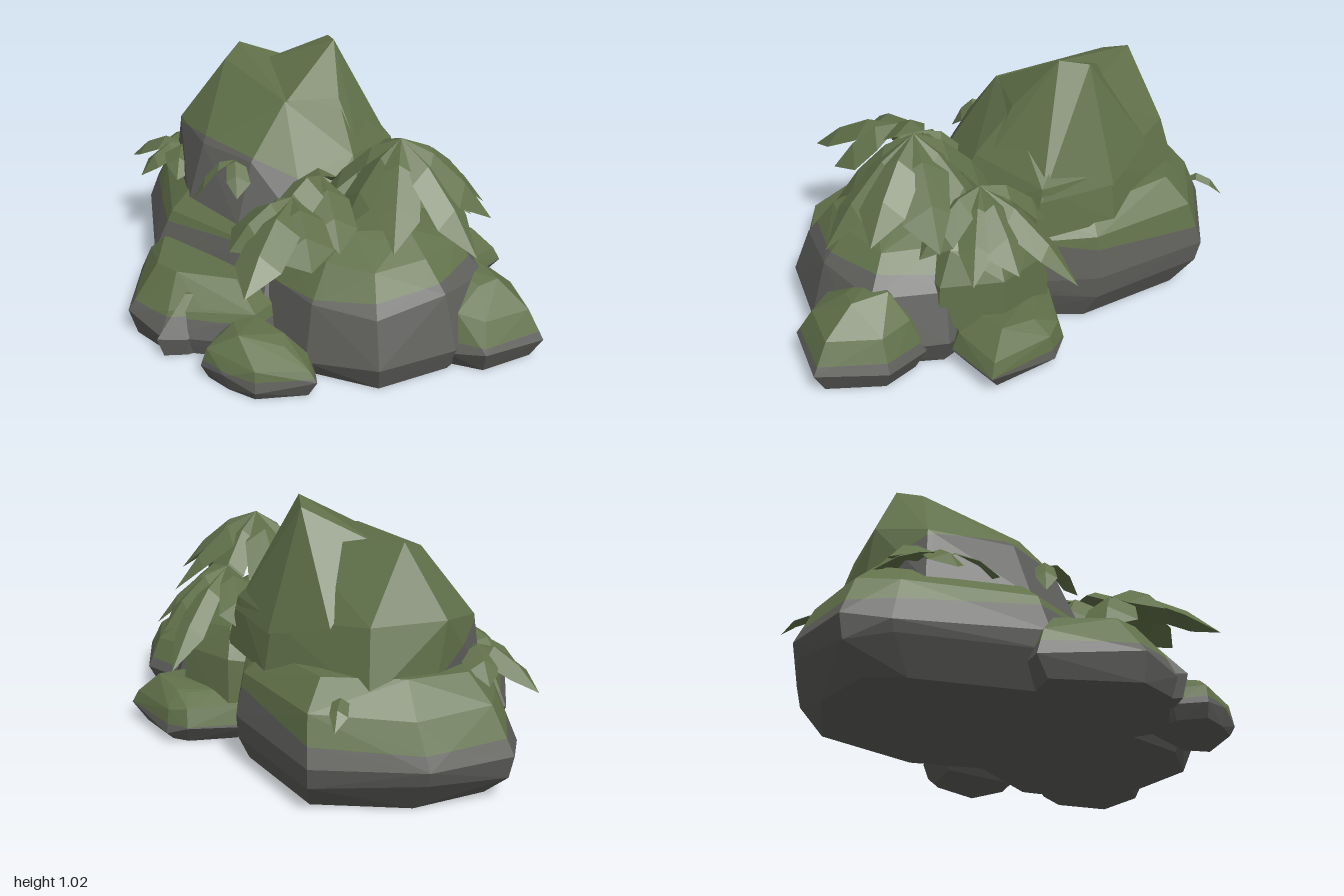
import * as THREE from 'three';
import { ConvexGeometry } from 'three/addons/geometries/ConvexGeometry.js';

const stone = new THREE.MeshStandardMaterial({ color: 0x5e5e5b });
const moss = new THREE.MeshStandardMaterial({ color: 0x61714a });
const leaf = new THREE.MeshStandardMaterial({ color: 0x61714a, side: THREE.DoubleSide });
stone.name = 'stone';
moss.name = 'moss';
leaf.name = 'leaf';

const V = (x, y, z) => new THREE.Vector3(x, y, z);

// Small seeded noise, -0.5 to 0.5
let seed = 7;
const noise = () => {
  seed = (seed * 16807) % 2147483647;
  return seed / 2147483647 - 0.5;
};

// Stack scaled copies of a ground outline: levels are [y, scale, dx, dz]
function stack(outline, levels) {
  const cx = outline.reduce((s, p) => s + p[0], 0) / outline.length;
  const cz = outline.reduce((s, p) => s + p[1], 0) / outline.length;
  return levels.flatMap(([y, s, dx = 0, dz = 0]) => outline.map(([x, z]) => V(
    cx + (x - cx) * s + dx,
    y === 0 ? 0 : y + noise() * 0.04,
    cz + (z - cz) * s + dz)));
}

// Keep the part of a polygon on one side of the moss line
function clip(poly, height, sign) {
  const out = [];
  poly.forEach((a, i) => {
    const b = poly[(i + 1) % poly.length];
    const da = height(a) * sign, db = height(b) * sign;
    if (da >= 0) out.push(a);
    if (da * db < 0) out.push(a.clone().lerp(b, da / (da - db)));
  });
  return out;
}

function facets(triangles) {
  const g = new THREE.BufferGeometry().setFromPoints(triangles);
  g.computeVertexNormals();
  return g;
}

// Faceted boulder, stone below the sloping line y = a + b x + c z, moss above it
function rock(name, points, [a, b = 0, c = 0]) {
  const group = new THREE.Group();
  group.name = name;
  const pos = new ConvexGeometry(points).getAttribute('position');
  const height = (p) => p.y - (a + b * p.x + c * p.z);
  for (const [sign, material, part] of [[-1, stone, 'Stone'], [1, moss, 'Moss']]) {
    const tris = [];
    for (let i = 0; i < pos.count; i += 3) {
      const tri = [0, 1, 2].map((k) => new THREE.Vector3().fromBufferAttribute(pos, i + k));
      const poly = clip(tri, height, sign);
      for (let k = 1; k < poly.length - 1; k++) tris.push(poly[0], poly[k], poly[k + 1]);
    }
    if (!tris.length) continue;
    const mesh = new THREE.Mesh(facets(tris), material);
    mesh.name = name + part;
    group.add(mesh);
  }
  return group;
}

// Clump of folded, drooping leaves running from a crown to each tip
function fern(name, crown, tips, width) {
  const tris = [];
  for (const t of tips) {
    const tip = V(...t), root = V(...crown);
    const side = V(tip.z - root.z, 0, root.x - tip.x).normalize();
    const ridge = [0, 0.35, 0.7, 1].map((k) => {
      const p = root.clone().lerp(tip, k);
      p.y += Math.sin(k * Math.PI) * 0.06;
      return p;
    });
    for (const s of [-1, 1]) {
      const edge = ridge.map((p, k) => {
        const w = width * [0.1, 0.9, 1, 0][k] * (1 + noise() * 0.5);
        return p.clone().addScaledVector(side, s * w).add(V(0, -w * 0.6, 0));
      });
      for (let k = 0; k < 3; k++) {
        const quad = [ridge[k], edge[k], edge[k + 1], ridge[k], edge[k + 1], ridge[k + 1]];
        tris.push(...(s > 0 ? quad : quad.reverse()));
      }
    }
  }
  const mesh = new THREE.Mesh(facets(tris), leaf);
  mesh.name = name;
  return mesh;
}

export function createModel() {
  const model = new THREE.Group();
  model.name = 'mossyRocks';

  // Wide base boulder
  model.add(rock('baseRock', stack(
    [[-1, 0.02], [-0.93, -0.31], [-0.65, -0.63], [-0.14, -0.6], [0.15, -0.4], [0.38, 0.1], [0.2, 0.38], [-0.41, 0.46], [-0.88, 0.15]],
    [[0, 0.87, 0.05], [0.12, 0.98, 0.01], [0.19, 1], [0.36, 0.89, 0.02, -0.02], [0.46, 0.72, 0.02, -0.02]]), [0.35, 0.1, 0.03]));

  // Tall boulder with a separate rear peak
  model.add(rock('tallRock', [
    [-0.76, 0.4, -0.15], [-0.7, 0.4, -0.4], [-0.25, 0.4, -0.54], [0.1, 0.4, -0.48], [0.27, 0.4, -0.1], [0.2, 0.4, 0.15],
    [-0.05, 0.4, 0.3], [-0.35, 0.4, 0.32], [-0.7, 0.4, 0.12], [-0.76, 0.66, -0.1], [-0.68, 0.62, 0.1], [-0.35, 0.64, 0.23],
    [-0.08, 0.64, 0.2], [0.14, 0.64, -0.15], [-0.64, 0.65, -0.35], [-0.25, 0.6, -0.5], [0.05, 0.6, -0.46],
    [-0.6, 0.92, -0.17], [-0.56, 0.88, -0.06], [-0.08, 0.85, 0.02], [0, 0.82, -0.2], [-0.2, 0.86, -0.36],
  ].map((p) => V(...p)), [0.53, 0, 0.65]));
  model.add(rock('peakRock', [
    [-0.14, 1.02, -0.3], [-0.24, 1, -0.36], [-0.46, 0.87, -0.16], [-0.08, 0.85, 0.01], [0, 0.83, -0.2],
    [0.13, 0.62, -0.2], [0.06, 0.55, -0.47], [-0.25, 0.55, -0.52], [-0.5, 0.62, -0.42],
  ].map((p) => V(...p)), [0.4]));

  // Centre right boulder
  model.add(rock('middleRock', stack(
    [[0, 0], [0.1, -0.4], [0.5, -0.5], [0.78, -0.35], [0.83, -0.04], [0.74, 0.28], [0.48, 0.41], [0.12, 0.38]],
    [[0, 0.9], [0.09, 1], [0.3, 0.88, -0.02], [0.43, 0.66, -0.04], [0.48, 0.38, -0.05, -0.03]]), [0.29, 0.08, -0.05]));

  // Far right boulder
  model.add(rock('rightRock', stack(
    [[0.5, -0.4], [0.58, -0.46], [0.76, -0.5], [0.995, -0.36], [0.93, -0.1], [0.8, -0.03], [0.52, -0.08]],
    [[0, 0.82], [0.08, 1], [0.21, 0.75], [0.3, 0.33, -0.02]]), [0.12]));

  // Front slab
  model.add(rock('frontRock', stack(
    [[-0.5, 0.47], [-0.4, 0.3], [0.25, 0.25], [0.3, 0.48], [0.1, 0.62], [-0.02, 0.72], [-0.22, 0.73]],
    [[0, 0.88], [0.09, 1], [0.18, 0.87, 0, -0.02], [0.28, 0.6, -0.04, -0.05]]), [0.15, 0.02]));
  model.add(rock('frontSpur', stack(
    [[-0.1, 0.6], [-0.02, 0.5], [0.1, 0.55], [0.07, 0.66], [0, 0.75]],
    [[0, 0.8], [0.09, 1], [0.22, 0.5, 0, -0.07]]), [0.16]));

  // Small front pebble
  model.add(rock('smallFrontRock', stack(
    [[0.15, 0.58], [0.2, 0.4], [0.5, 0.38], [0.6, 0.46], [0.47, 0.65], [0.34, 0.69], [0.21, 0.7]],
    [[0, 0.86], [0.05, 1], [0.12, 0.88], [0.18, 0.5, -0.03, -0.02]]), [0.08]));

  // Back rocks
  model.add(rock('backRock', stack(
    [[-0.02, -0.45], [0.1, -0.68], [0.18, -0.73], [0.47, -0.73], [0.49, -0.5], [0.4, -0.35]],
    [[0, 0.74], [0.06, 1], [0.14, 0.88], [0.2, 0.5]]), [0.08]));
  model.add(rock('backMound', stack(
    [[-0.05, -0.35], [0.05, -0.52], [0.3, -0.58], [0.52, -0.45], [0.5, -0.1], [0.1, 0]],
    [[0.1, 1], [0.32, 0.93], [0.45, 0.7], [0.52, 0.4]]), [0.15]));

  // Leaf clumps
  model.add(fern('tallFern', [0.41, 0.81, -0.14], [
    [0.81, 0.45, -0.15], [0.72, 0.52, -0.33], [0.52, 0.5, -0.48], [0.28, 0.5, -0.42],
    [0.1, 0.52, -0.22], [0.12, 0.5, 0.02], [0.36, 0.48, 0.12], [0.62, 0.48, 0.1]], 0.09));
  model.add(fern('frontFern', [0.24, 0.63, 0.26], [
    [0.42, 0.42, 0.65], [0.2, 0.48, 0.54], [0.07, 0.42, 0.34], [0.48, 0.45, 0.38]], 0.11));
  model.add(fern('innerFern', [0.22, 0.66, 0.1], [
    [0.05, 0.45, 0.16], [0.46, 0.46, 0.22], [0.05, 0.5, -0.02], [0.24, 0.56, 0.32]], 0.08));
  model.add(fern('backFern', [0.27, 0.65, -0.37], [
    [0.09, 0.34, -0.74], [0.3, 0.42, -0.66], [0.46, 0.4, -0.6], [0.56, 0.45, -0.4], [0, 0.46, -0.46]], 0.08));
  model.add(fern('leftFern', [-0.66, 0.5, 0.1], [
    [-0.94, 0.37, 0.19], [-0.86, 0.41, 0.02], [-0.72, 0.38, 0.3], [-0.48, 0.44, 0.28]], 0.07));
  model.add(fern('faceSprig', [-0.16, 0.63, 0.22], [
    [-0.29, 0.44, 0.34], [-0.05, 0.52, 0.3]], 0.05));
  model.add(fern('rearSprig', [-0.66, 0.42, -0.48], [[-0.77, 0.37, -0.6]], 0.03));

  return model;
}
